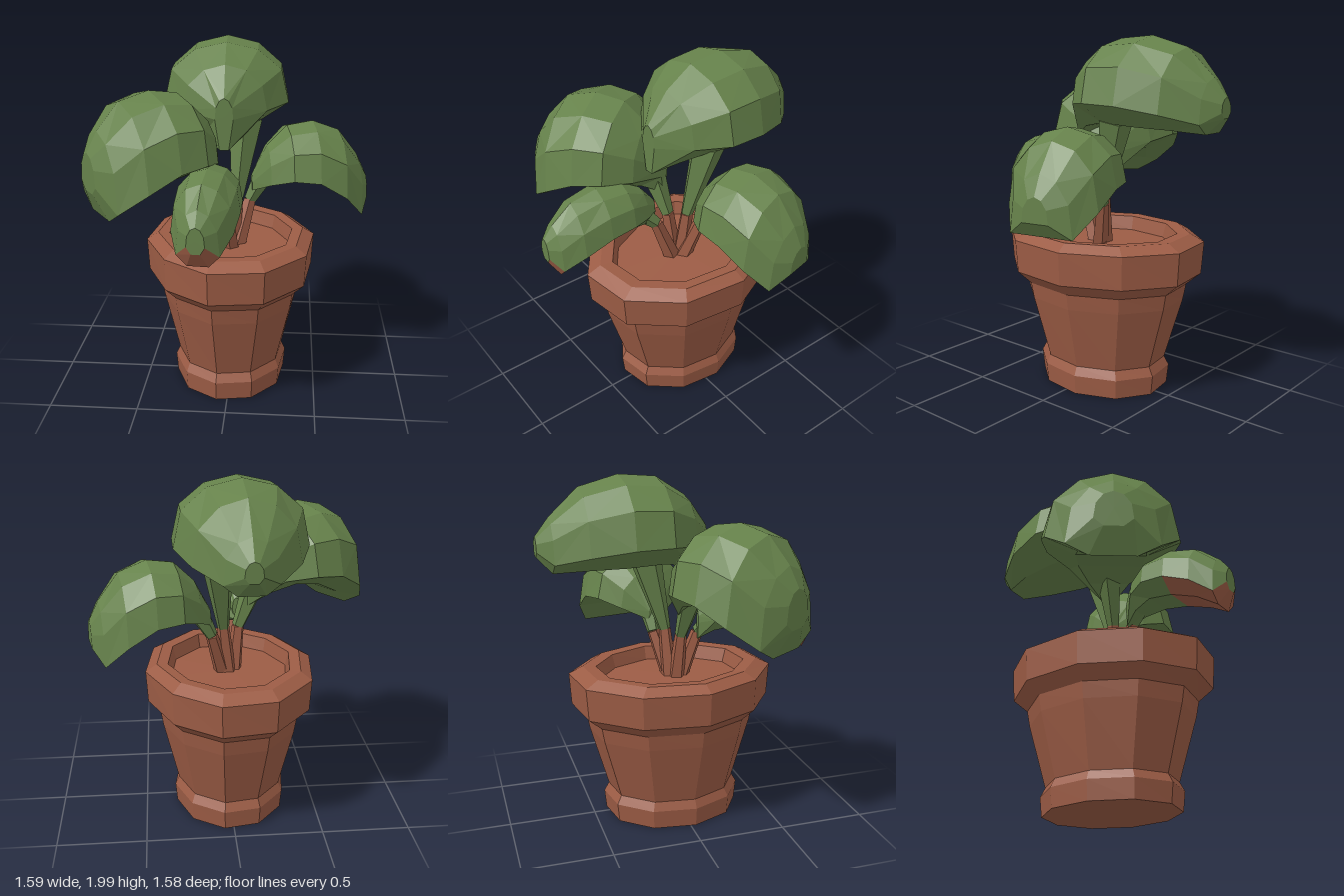
import * as THREE from 'three';

const leafGreen = new THREE.MeshStandardMaterial({ color: 0x66824b });
leafGreen.name = 'leaf green';
const terracotta = new THREE.MeshStandardMaterial({ color: 0x9c5c45 });
terracotta.name = 'terracotta';

// Unshared corners give every face its own flat normal
function addMesh(parent, name, geometry, material) {
  const flat = geometry.index ? geometry.toNonIndexed() : geometry;
  flat.computeVertexNormals();
  const mesh = new THREE.Mesh(flat, material);
  mesh.name = name;
  parent.add(mesh);
  return mesh;
}

// Domed cross-section: [side, height]; negative height marks the underside
const SECTION = [[1, 0], [0.88, 0.55], [0.5, 0.88], [0, 1], [-0.5, 0.88],
  [-0.88, 0.55], [-1, 0], [-0.5, -1], [0.5, -1]];

// Shared leaf growth from stem to tip: [position, width, dome, belly, curl]
const GROWTH = [[0, 0.13, 0.3, 1.3, 0], [0.13, 0.6, 0.65, 1, 0], [0.3, 0.93, 0.88, 0.9, 0],
  [0.52, 1, 1, 1, 0], [0.75, 0.93, 1.13, 0.9, 0], [0.92, 0.64, 1.06, 0.75, 0], [1, 0.27, 0.45, 0.5, 0.5]];

// Loft along a drooping parabola through three rim heights; the tip curls up
function leafGeometry({ origin, direction, length, rim, dome, belly, width, taper, brownFrom }) {
  const d = new THREE.Vector2(...direction).normalize();
  const rings = GROWTH.map(([t, w, h, b, curl]) => {
    const f = 1 - taper * t ** 3;
    const edge = rim[0] * 2 * (t - 0.5) * (t - 1) + rim[1] * 4 * t * (1 - t)
      + rim[2] * 2 * t * (t - 0.5) + curl * dome * f;
    return SECTION.map(([u, v]) => new THREE.Vector3(
      origin[0] + d.x * t * length + d.y * u * w * width * f,
      edge + v * f * (v < 0 ? b * belly : h * dome),
      origin[1] + d.y * t * length - d.x * u * w * width * f));
  });
  const green = [], brown = [];
  const n = SECTION.length;
  for (let i = 0; i < rings.length - 1; i++) {
    for (let j = 0; j < n; j++) {
      const k = (j + 1) % n;
      const a = rings[i][j], b = rings[i][k], c = rings[i + 1][k], e = rings[i + 1][j];
      const target = i >= brownFrom && j >= 6 ? brown : green;
      // Alternate the diagonals for an irregular faceted surface
      if ((i + j) % 2) target.push(a, b, c, a, c, e);
      else target.push(a, b, e, b, c, e);
    }
  }
  // Close both ends with a fan
  [rings[0], rings[rings.length - 1]].forEach((ring, end) => {
    const centre = ring.reduce((sum, p) => sum.add(p), new THREE.Vector3()).divideScalar(n);
    for (let j = 0; j < n; j++) {
      const a = ring[j], b = ring[(j + 1) % n];
      if (end) green.push(centre, a, b);
      else green.push(centre, b, a);
    }
  });
  const geometry = new THREE.BufferGeometry().setFromPoints([...green, ...brown]);
  geometry.addGroup(0, green.length, 0);
  geometry.addGroup(green.length, brown.length, 1);
  return geometry;
}

// Tapered five-sided stem piece between two points
function addStem(parent, name, from, to, r0, r1, material) {
  const a = new THREE.Vector3(...from), b = new THREE.Vector3(...to);
  const axis = b.clone().sub(a);
  const mesh = addMesh(parent, name, new THREE.CylinderGeometry(r1, r0, axis.length(), 5), material);
  mesh.position.copy(a).add(b).multiplyScalar(0.5);
  mesh.quaternion.setFromUnitVectors(new THREE.Vector3(0, 1, 0), axis.normalize());
}

const leftLeaf = {
  name: 'leftLeaf', origin: [0.11, -0.09], direction: [1, -0.2], length: 0.67, width: 0.285,
  rim: [1.14, 1.24, 0.94], dome: 0.3, belly: 0, taper: 0, brownFrom: Infinity,
  stem: [[0.03, 0.8, -0.02], [0.1, 1.07, -0.1], [0.21, 1.28, -0.12]], flare: 0.07,
};
const backLeaf = {
  name: 'backLeaf', origin: [-0.03, 0.165], direction: [-0.03, -1], length: 0.95, width: 0.385,
  rim: [1.6, 1.64, 1.52], dome: 0.385, belly: 0.13, taper: 0.55, brownFrom: Infinity,
  stem: [[0, 0.8, -0.03], [0.03, 1.1, -0.05], [0.07, 1.54, -0.16]], flare: 0.1,
};
const rightLeaf = {
  name: 'rightLeaf', origin: [-0.1, 0.01], direction: [-0.83, 0.555], length: 0.75, width: 0.385,
  rim: [1.33, 1.4, 1.12], dome: 0.37, belly: 0.09, taper: 0, brownFrom: Infinity,
  stem: [[-0.03, 0.8, 0], [-0.06, 1.08, 0.02], [-0.18, 1.38, 0.06]], flare: 0.08,
};
const frontLeaf = {
  name: 'frontLeaf', origin: [-0.06, 0.12], direction: [-0.09, 1], length: 0.67, width: 0.175,
  rim: [1.15, 1.19, 0.99], dome: 0.225, belly: 0.075, taper: 0, brownFrom: 3,
  stem: [[0, 0.8, 0.03], [-0.02, 1.08, 0.13], [-0.07, 1.2, 0.24]], flare: 0.06,
};

export function createModel() {
  const model = new THREE.Group();
  model.name = 'pottedPlant';

  // Ten-sided pot: foot band, flared wall, thick rim, sunken soil
  const profile = [[0, 0], [0.325, 0], [0.335, 0.11], [0.312, 0.16], [0.4, 0.52], [0.415, 0.61],
    [0.485, 0.68], [0.497, 0.865], [0.43, 0.905], [0.365, 0.9], [0.345, 0.82], [0, 0.83]]
    .map(([r, y]) => new THREE.Vector2(r, y));
  const potShape = new THREE.LatheGeometry(profile, 10, THREE.MathUtils.degToRad(26));
  // Flatten one diagonal towards the rim for a hand-made, uneven outline
  const corners = potShape.attributes.position;
  for (let i = 0; i < corners.count; i++) {
    const x = corners.getX(i), y = corners.getY(i), z = corners.getZ(i);
    const f = 1 + 0.13 * y * Math.min(0, x * z) / (x * x + z * z + 1e-6);
    corners.setXYZ(i, x * f, y, z * f);
  }
  potShape.scale(1, 1, 1.22);
  potShape.translate(-0.005, 0, -0.025);
  addMesh(model, 'pot', potShape, terracotta);

  // Leaves with brown stem bases that flare into green stalks
  for (const leaf of [leftLeaf, backLeaf, rightLeaf, frontLeaf]) {
    const group = new THREE.Group();
    group.name = leaf.name;
    const [base, middle, tip] = leaf.stem;
    addStem(group, 'stemBase', base, middle, 0.05, 0.036, terracotta);
    addStem(group, 'stalk', middle, tip, 0.036, leaf.flare, leafGreen);
    addMesh(group, 'leafBlade', leafGeometry(leaf), [leafGreen, terracotta]);
    model.add(group);
  }
  return model;
}
